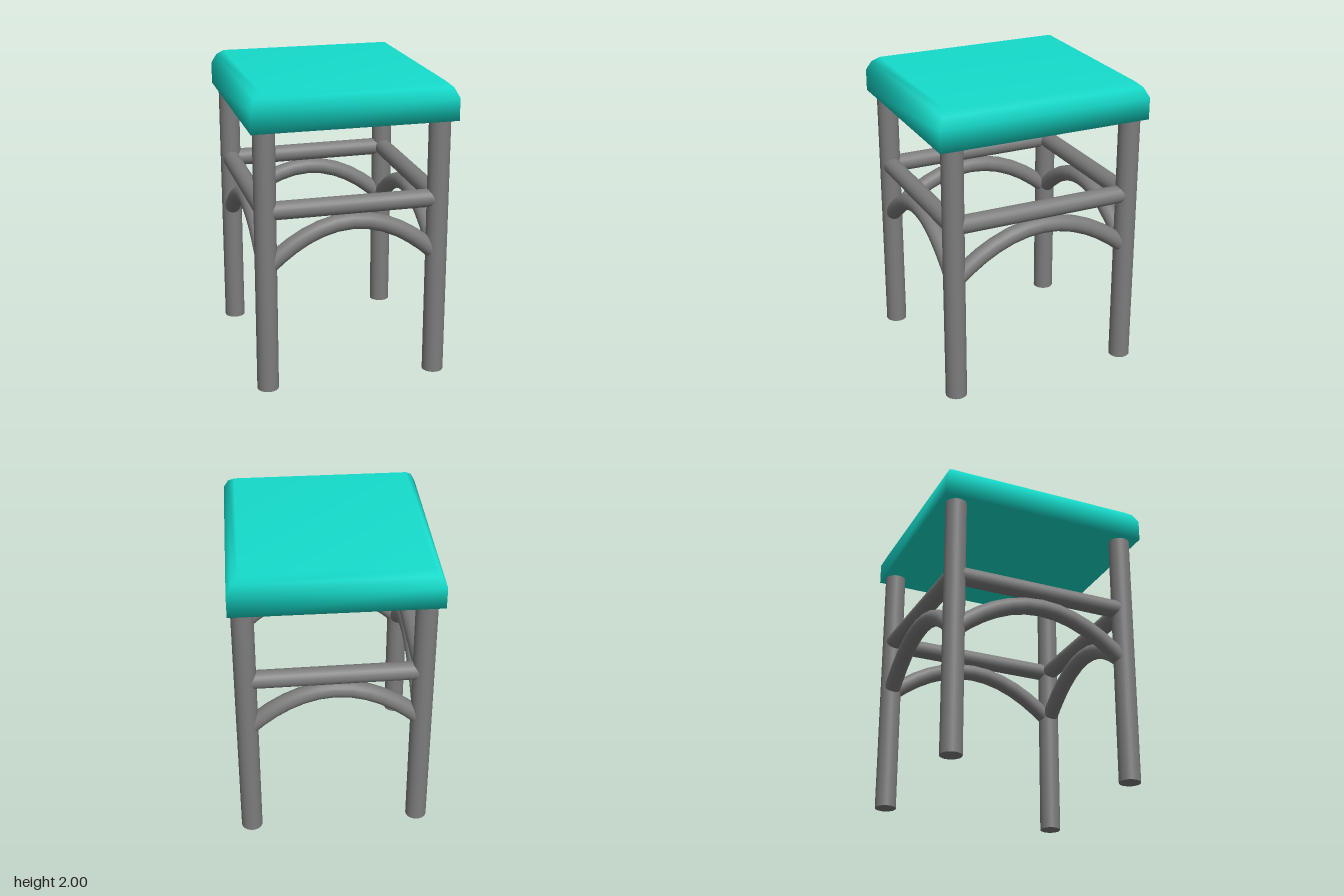
import * as THREE from 'three';

const teal = new THREE.MeshStandardMaterial({ color: 0x15dccb });
const grey = new THREE.MeshStandardMaterial({ color: 0x7c7c7c });

function add(parent, name, geometry, material) {
  const mesh = new THREE.Mesh(geometry, material);
  mesh.name = name;
  parent.add(mesh);
  return mesh;
}

// Cushion: stacked rectangles sharing vertices, so the edges shade softly
function cushionGeometry(halfX, halfZ, rings) {
  const positions = [], index = [];
  for (const [inset, y] of rings) {
    const x = halfX - inset, z = halfZ - inset;
    positions.push(-x, y, z, x, y, z, x, y, -z, -x, y, -z);
  }
  for (let r = 0; r < rings.length - 1; r++) {
    for (let i = 0; i < 4; i++) {
      const a = r * 4 + i, b = r * 4 + (i + 1) % 4;
      index.push(a, b, b + 4, a, b + 4, a + 4);
    }
  }
  const t = (rings.length - 1) * 4;
  index.push(0, 2, 1, 0, 3, 2, t, t + 1, t + 2, t, t + 2, t + 3);
  const geometry = new THREE.BufferGeometry();
  geometry.setAttribute('position', new THREE.Float32BufferAttribute(positions, 3));
  geometry.setIndex(index);
  geometry.computeVertexNormals();
  return geometry;
}

// Straight rail with an arched brace below it, running from one leg to the next
function addStretcher(parent, name, from, to) {
  const group = new THREE.Group();
  group.name = name;
  parent.add(group);

  const mid = from.clone().add(to).multiplyScalar(0.5);
  const span = to.clone().sub(from);
  const rail = add(group, 'rail', new THREE.CylinderGeometry(0.06, 0.06, span.length(), 24), grey);
  rail.position.set(mid.x, 1.225, mid.z);
  rail.quaternion.setFromUnitVectors(new THREE.Vector3(0, 1, 0), span.clone().normalize());

  const endY = 0.84, apexY = 1.115;
  const curve = new THREE.QuadraticBezierCurve3(
    from.clone().setY(endY),
    mid.clone().setY(2 * apexY - endY),
    to.clone().setY(endY)
  );
  add(group, 'archedBrace', new THREE.TubeGeometry(curve, 12, 0.056, 20), grey).material = grey;
}

export function createModel() {
  const model = new THREE.Group();
  model.name = 'stool';

  add(model, 'seatCushion', cushionGeometry(0.665, 0.72, [
    [0, 1.755], [0, 1.9], [0.032, 1.965], [0.075, 2]
  ]), teal);

  // Legs, in order around the seat
  const corners = [
    ['frontLeftLeg', 0.575, 0.61],
    ['backLeftLeg', 0.575, -0.63],
    ['backRightLeg', -0.565, -0.61],
    ['frontRightLeg', -0.565, 0.61]
  ];
  const feet = corners.map(([name, x, z]) => {
    const leg = add(model, name, new THREE.CylinderGeometry(0.071, 0.071, 1.77, 28), grey);
    leg.position.set(x, 0.885, z);
    return new THREE.Vector3(x, 0, z);
  });

  // Stretchers between neighbouring legs
  ['leftStretcher', 'backStretcher', 'rightStretcher', 'frontStretcher'].forEach((name, i) => {
    addStretcher(model, name, feet[i], feet[(i + 1) % 4]);
  });

  return model;
}
